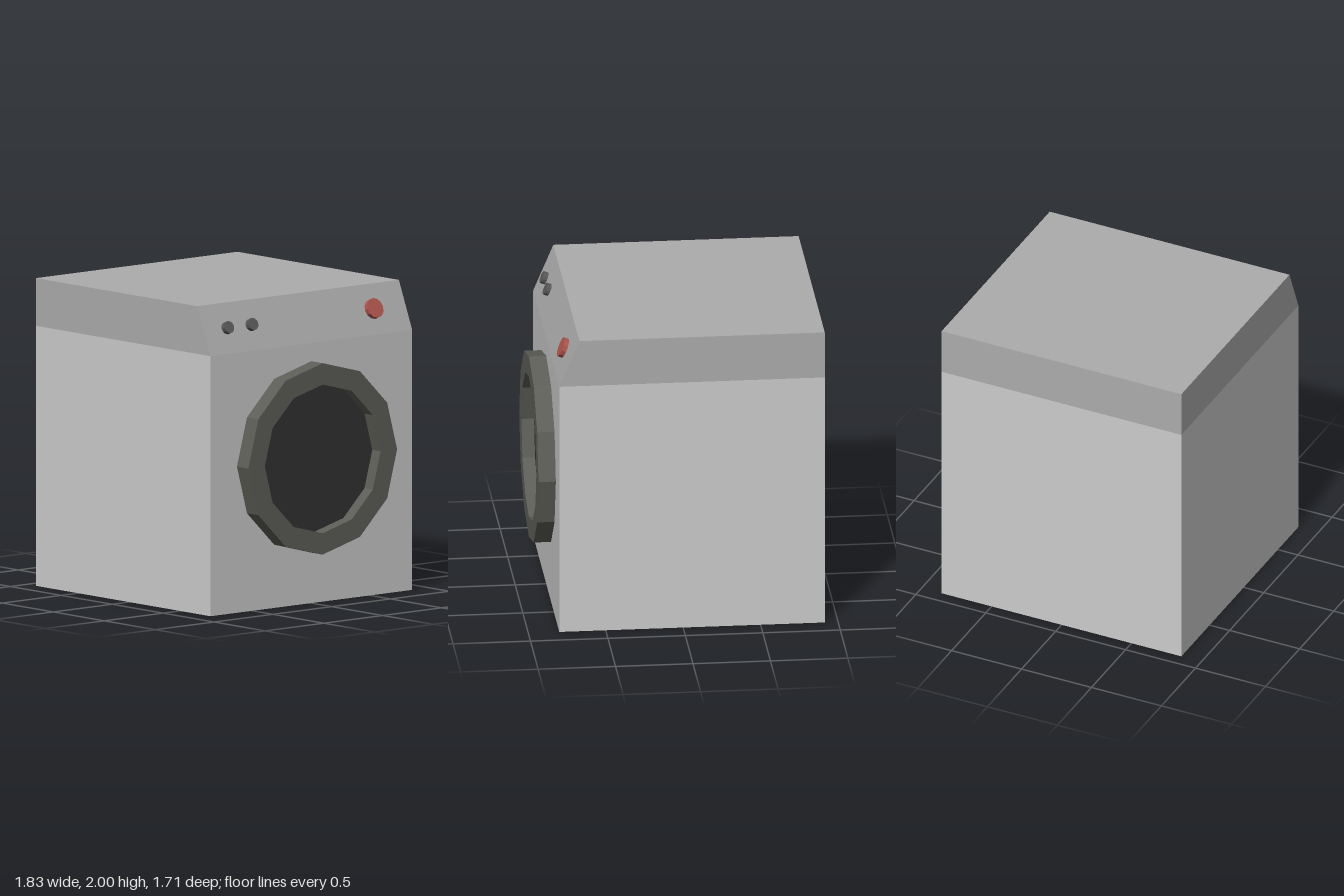
import * as THREE from 'three';

const mat = (color) => new THREE.MeshStandardMaterial({ color, flatShading: true });

function add(parent, name, geometry, material) {
  const mesh = new THREE.Mesh(geometry, material);
  mesh.name = name;
  parent.add(mesh);
  return mesh;
}

// Twelve-sided outline, slightly wider than tall, with a corner at the top
function outline(rz, ry) {
  return Array.from({ length: 12 }, (_, i) => {
    const a = (i / 12) * Math.PI * 2;
    return new THREE.Vector2(rz * Math.cos(a), ry * Math.sin(a));
  });
}

export function createModel() {
  const model = new THREE.Group();
  model.name = 'washingMachine';
  const back = -0.914, face = 0.8, topEdge = 0.67;
  const split = 1.69, height = 2, half = 0.857, doorY = 0.95;
  const darkGrey = mat(0x5a5a5a);

  // Cabinet
  const cabinet = add(model, 'cabinet', new THREE.BoxGeometry(face - back, split, half * 2), mat(0xcccccc));
  cabinet.position.set((face + back) / 2, split / 2, 0);

  // Top section with sloping control panel
  const profile = new THREE.Shape([
    new THREE.Vector2(back, split), new THREE.Vector2(face, split),
    new THREE.Vector2(topEdge, height), new THREE.Vector2(back, height),
  ]);
  const top = add(model, 'controlPanel',
    new THREE.ExtrudeGeometry(profile, { depth: half * 2, bevelEnabled: false }), mat(0xacacac));
  top.position.z = -half;

  // Door: raised ring around a recessed pane
  const door = new THREE.Group();
  door.name = 'door';
  door.position.set(face, doorY, 0);
  door.rotation.y = Math.PI / 2;
  model.add(door);
  const ring = new THREE.Shape(outline(0.632, 0.622));
  ring.holes.push(new THREE.Path(outline(0.492, 0.483).reverse()));
  add(door, 'doorRing', new THREE.ExtrudeGeometry(ring, { depth: 0.112, bevelEnabled: false }), mat(0x5e5e58));
  const pane = add(door, 'doorGlass',
    new THREE.ShapeGeometry(new THREE.Shape(outline(0.492, 0.483))), mat(0x323232));
  pane.position.z = 0.03;

  // Knobs standing square to the sloping panel
  const slope = Math.atan2(face - topEdge, height - split);
  const knobY = 1.845;
  const knobX = face - (knobY - split) * Math.tan(slope);
  const thickness = 0.03;
  const knob = (name, z, radius, material) => {
    const mesh = add(model, name, new THREE.CylinderGeometry(radius, radius, thickness, 12), material);
    mesh.rotation.z = slope - Math.PI / 2;
    mesh.position.set(
      knobX + Math.cos(slope) * thickness / 2,
      knobY + Math.sin(slope) * thickness / 2, z);
  };
  knob('outerKnob', 0.665, 0.041, darkGrey);
  knob('innerKnob', 0.46, 0.041, darkGrey);
  knob('redDial', -0.577, 0.066, mat(0xb1564f));

  return model;
}
